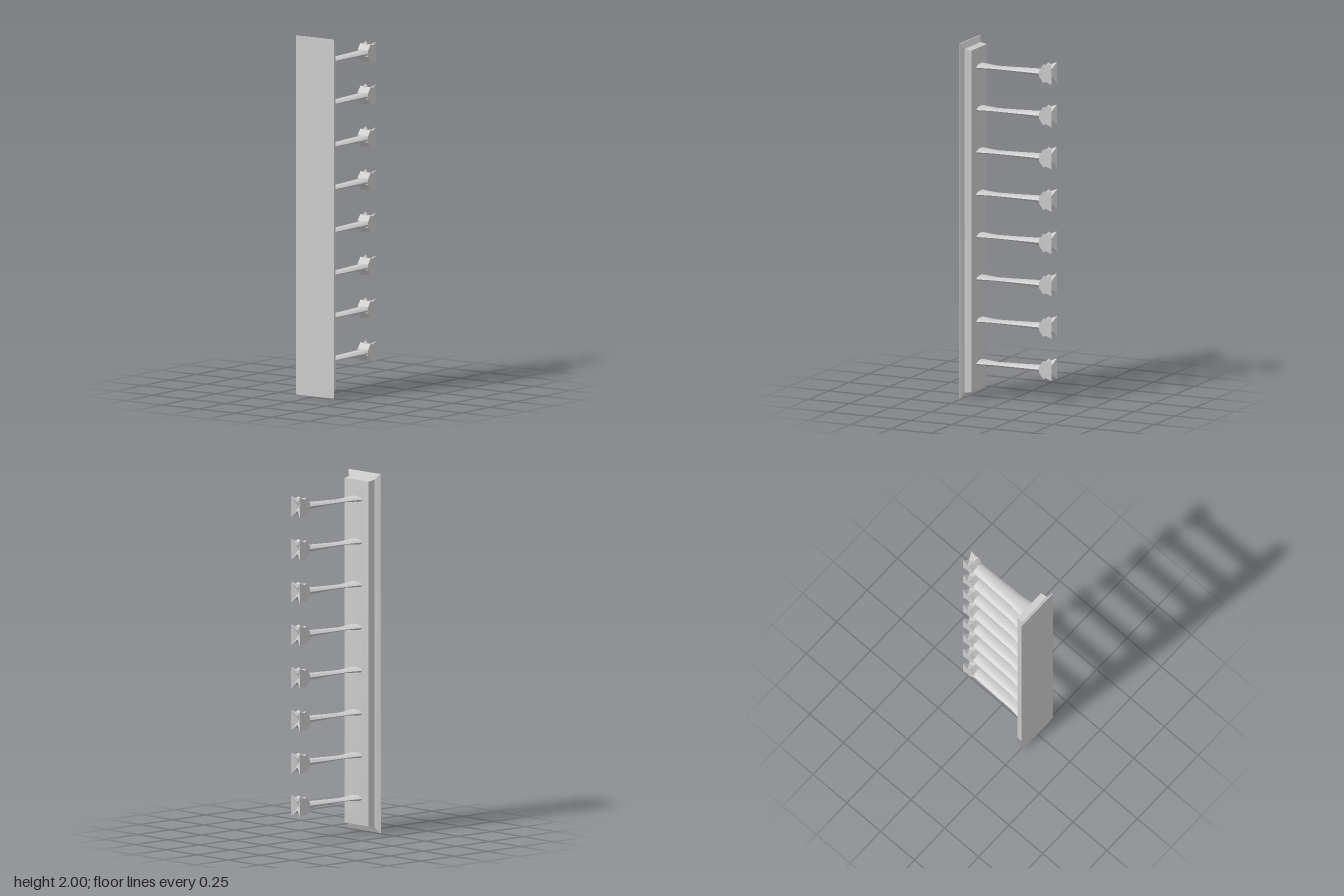
import * as THREE from 'three';
import { toCreasedNormals } from 'three/addons/utils/BufferGeometryUtils.js';

const grey = new THREE.MeshStandardMaterial({ color: 0xcccccc });

// Joins rings of [x, y, z] points (counter-clockwise seen from +z, ordered from +z to -z).
// The caps are fans around the given centre points.
function loft(rings, frontCentre, backCentre, crease) {
  const n = rings[0].length;
  const points = [...rings.flat(), frontCentre, backCentre];
  const front = points.length - 2, back = points.length - 1, last = (rings.length - 1) * n;
  const index = [];
  for (let i = 0; i < n; i++) {
    const j = (i + 1) % n;
    index.push(front, i, j, back, last + j, last + i);
    for (let r = 0; r < last; r += n) {
      index.push(r + i, r + n + i, r + j, r + j, r + n + i, r + n + j);
    }
  }
  const geometry = new THREE.BufferGeometry();
  geometry.setAttribute('position', new THREE.Float32BufferAttribute(points.flat(), 3));
  geometry.setIndex(index);
  return toCreasedNormals(geometry, crease);
}

const rectangle = (z, w, h, cy = 0) =>
  [[w, cy - h, z], [w, cy + h, z], [-w, cy + h, z], [-w, cy - h, z]];

const oval = (z, w, h) => Array.from({ length: 10 }, (_, i) => {
  const a = (i / 10) * Math.PI * 2;
  return [w * Math.cos(a), h * Math.sin(a), z];
});

// Box section whose top and bottom edges dip in the middle
const notched = (z, w, h, mid, zMid = z) => [
  [w, -h, z], [w, 0, z], [w, h, z], [0, mid, zMid],
  [-w, h, z], [-w, 0, z], [-w, -h, z], [0, -mid, zMid],
];

export function createModel() {
  const model = new THREE.Group();

  // Tall plate with a thin flared rim and a shallow raised back
  const plate = new THREE.Mesh(loft([
    rectangle(0.26, 0.13, 1, 1),
    rectangle(0.256, 0.127, 0.998, 1),
    rectangle(0.24, 0.1, 0.967, 1),
    rectangle(0.2, 0.097, 0.96, 1),
    rectangle(0.191, 0.055, 0.9, 1),
  ], [0, 1, 0.257], [0, 1, 0.19], 0.5), grey);
  plate.name = 'facePlate';
  model.add(plate);

  // Flat arm, wide at its root and thinnest a little way along
  const armGeometry = loft([
    oval(0.2, 0.058, 0.018),
    oval(0.18, 0.052, 0.015),
    oval(0.1, 0.04, 0.008),
    oval(0.0, 0.039, 0.012),
    oval(-0.2, 0.036, 0.02),
  ], [0, 0, 0.2], [0, 0, -0.2], 0.9);

  // Flared anchor head with a hollow, notched end
  const headGeometry = loft([
    notched(-0.185, 0.036, 0.017, 0.019),
    notched(-0.21, 0.035, 0.052, 0.045),
    notched(-0.224, 0.035, 0.043, 0.036),
    notched(-0.26, 0.035, 0.058, 0.022, -0.245),
  ], [0, 0, -0.185], [0, 0, -0.235], 0.3);

  for (let i = 0; i < 8; i++) {
    const anchor = new THREE.Group();
    anchor.name = `anchor${i + 1}`;
    const arm = new THREE.Mesh(armGeometry, grey);
    arm.name = 'arm';
    const head = new THREE.Mesh(headGeometry, grey);
    head.name = 'anchorHead';
    anchor.add(arm, head);
    anchor.position.y = 0.19 + i * 0.238;
    model.add(anchor);
  }
  return model;
}
